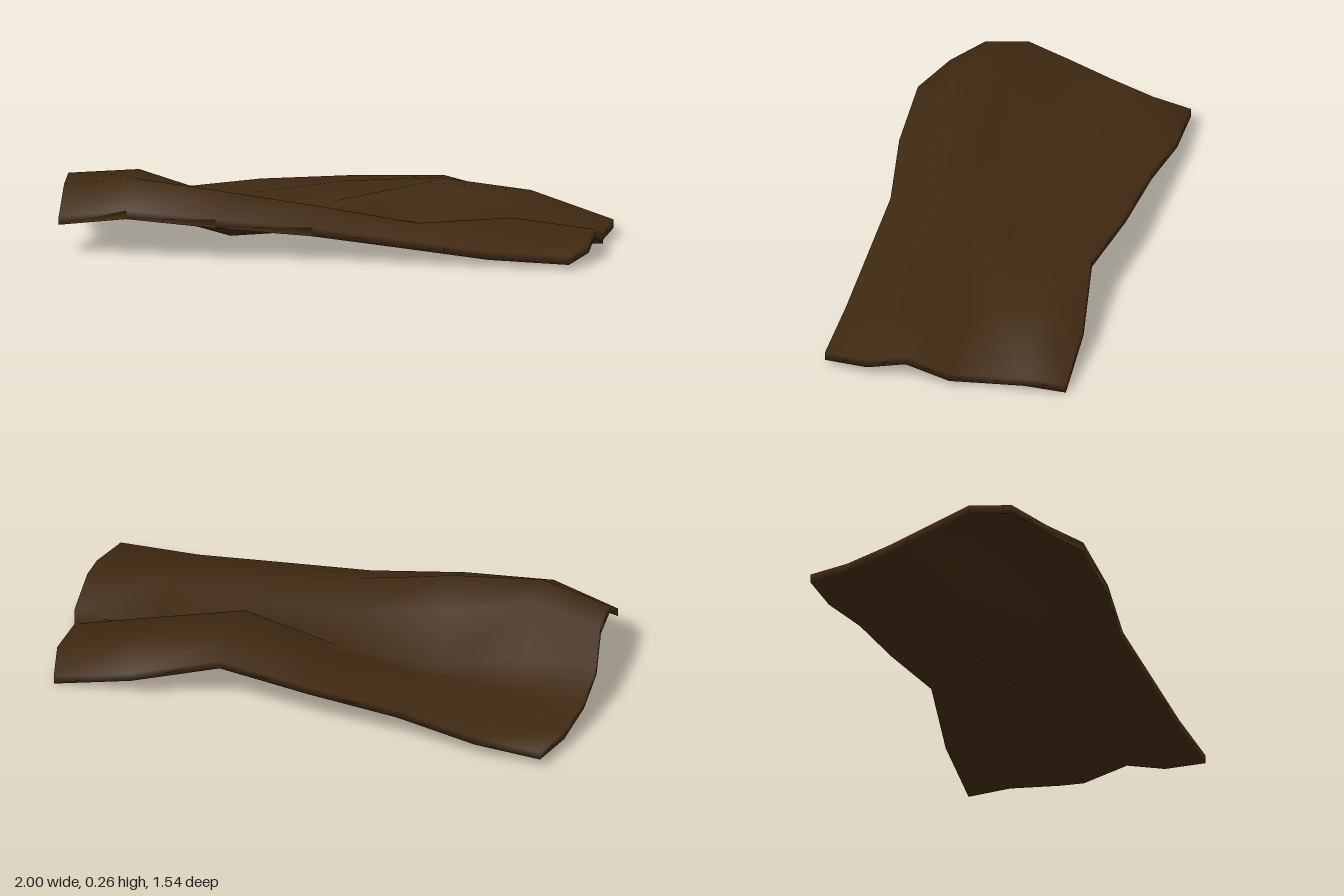
import * as THREE from 'three';
import { mergeVertices } from 'three/addons/utils/BufferGeometryUtils.js';

// Outline of the sheet as [x, z] points along its four edges
const back = [[-1, -0.02], [-0.79, -0.13], [-0.52, -0.235], [-0.22, -0.365], [0.1, -0.475], [0.36, -0.65], [0.61, -0.775]];
const front = [[-0.64, 0.77], [-0.39, 0.71], [-0.11, 0.565], [0.17, 0.375], [0.46, 0.24], [0.74, 0.11], [1, -0.01]];
const rightEnd = [[-1, -0.02], [-0.975, 0.13], [-0.93, 0.28], [-0.87, 0.41], [-0.78, 0.53], [-0.7, 0.66], [-0.64, 0.77]];
const leftEnd = [[0.61, -0.775], [0.7, -0.66], [0.775, -0.49], [0.83, -0.43], [0.9, -0.29], [0.965, -0.17], [1, -0.01]];

// Heights of the upper face: one row per cross-section, each from back to front
const heights = [
  [0.07, 0.072, 0.107, 0.16, 0.235, 0.222, 0.13],
  [0.092, 0.085, 0.085, 0.13, 0.262, 0.258, 0.168],
  [0.135, 0.11, 0.075, 0.04, 0.17, 0.22, 0.145],
  [0.161, 0.165, 0.12, 0.07, 0.12, 0.17, 0.12],
  [0.18, 0.195, 0.205, 0.08, 0.1, 0.125, 0.09],
  [0.097, 0.155, 0.13, 0.042, 0.13, 0.1, 0.06],
  [0.035, 0.061, 0.043, 0.052, 0.099, 0.07, 0.053],
];
const THICKNESS = 0.031;
const N = 6;

// Blend the four edges into a point inside the outline
function blend(i, j, axis) {
  const u = i / N, v = j / N;
  const sides = (1 - v) * back[i][axis] + v * front[i][axis]
    + (1 - u) * rightEnd[j][axis] + u * leftEnd[j][axis];
  const corners = (1 - v) * ((1 - u) * back[0][axis] + u * back[N][axis])
    + v * ((1 - u) * front[0][axis] + u * front[N][axis]);
  return sides - corners;
}

export function createModel() {
  const group = new THREE.Group();
  group.name = 'warpedSheet';

  const darkBrown = new THREE.MeshStandardMaterial({ color: 0x3e2811 });
  darkBrown.name = 'darkBrown';

  // Thin slab, bent into the rumpled shape with welded, smooth edges
  let geometry = new THREE.BoxGeometry(N, 1, N, N, 1, N);
  geometry.deleteAttribute('normal');
  geometry.deleteAttribute('uv');
  geometry.clearGroups();
  geometry = mergeVertices(geometry);
  const pos = geometry.attributes.position;
  for (let k = 0; k < pos.count; k++) {
    const i = Math.round(pos.getX(k) + N / 2);
    const j = Math.round(pos.getZ(k) + N / 2);
    const drop = pos.getY(k) > 0 ? 0 : THICKNESS;
    pos.setXYZ(k, blend(i, j, 0), Math.max(0, heights[i][j] - drop), blend(i, j, 1));
  }
  geometry.computeVertexNormals();

  const sheet = new THREE.Mesh(geometry, darkBrown);
  sheet.name = 'rumpledSheet';
  group.add(sheet);
  return group;
}
